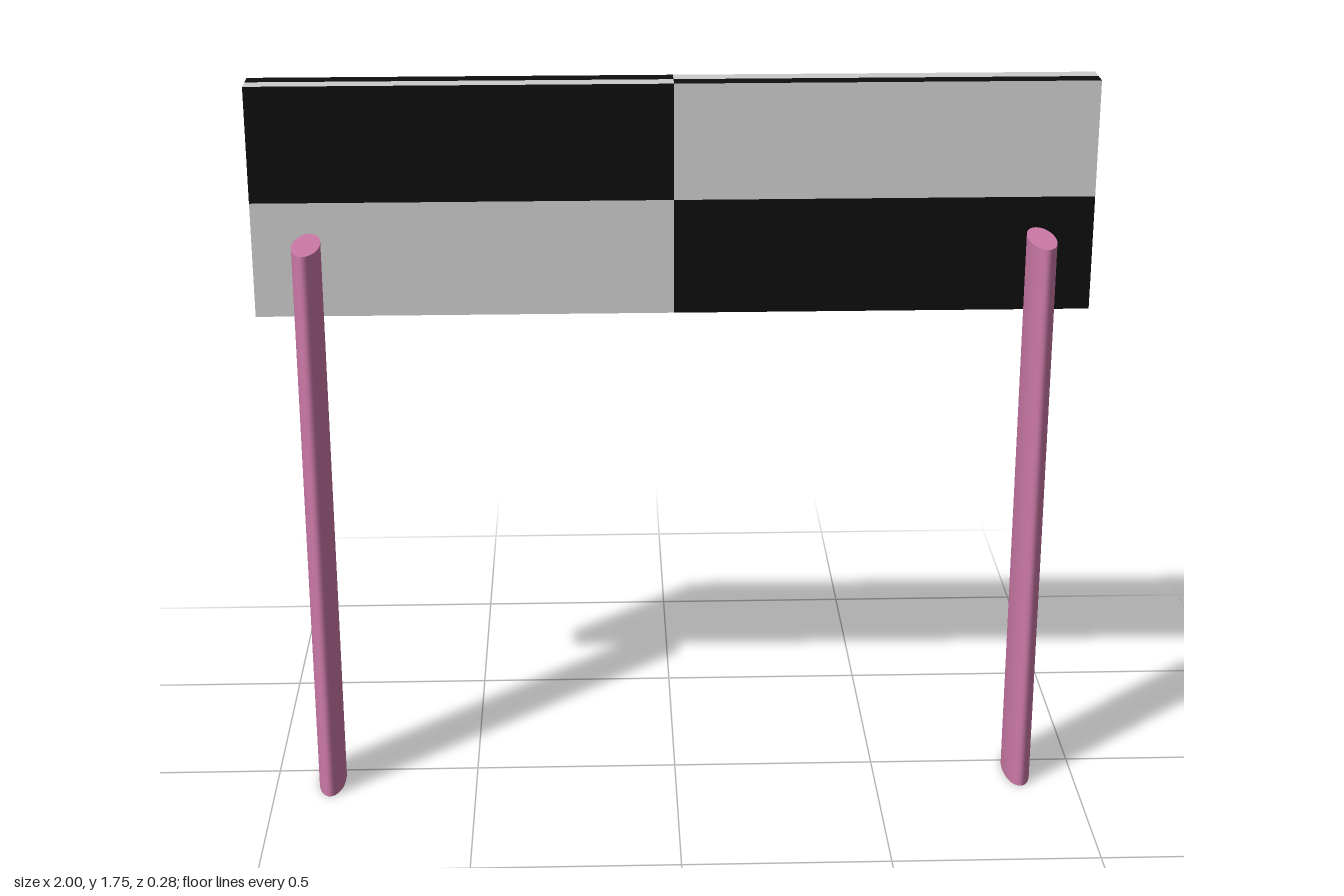
import * as THREE from 'three';

export function createModel() {
  const black = new THREE.MeshStandardMaterial({ name: 'black', color: 0x0d0d0d });
  const grey = new THREE.MeshStandardMaterial({ name: 'lightGrey', color: 0xcccccc });
  const pink = new THREE.MeshStandardMaterial({ name: 'pink', color: 0xcc79a7 });

  const model = new THREE.Group();
  model.name = 'signBarrier';

  // Board: every side is a two by two checker, black at upper left and lower right
  const boardGeometry = new THREE.BoxGeometry(2, 0.56, 0.09, 2, 2, 2);
  boardGeometry.clearGroups();
  for (let quad = 0; quad < 24; quad++) {
    const row = Math.floor((quad % 4) / 2);
    const column = quad % 2;
    boardGeometry.addGroup(quad * 6, 6, row === column ? 0 : 1);
  }
  const board = new THREE.Mesh(boardGeometry, [black, grey]);
  board.name = 'checkeredBoard';
  board.position.set(0, 1.475, -0.093);
  model.add(board);

  // Posts: upright oval columns touching the front of the board
  const postGeometry = new THREE.CylinderGeometry(1, 1, 1.4, 48);
  postGeometry.scale(0.033, 1, 0.093);
  for (const side of [-1, 1]) {
    const post = new THREE.Mesh(postGeometry, pink);
    post.name = side < 0 ? 'rightPost' : 'leftPost';
    post.position.set(side * 0.862, 0.7, 0.045);
    model.add(post);
  }

  return model;
}
